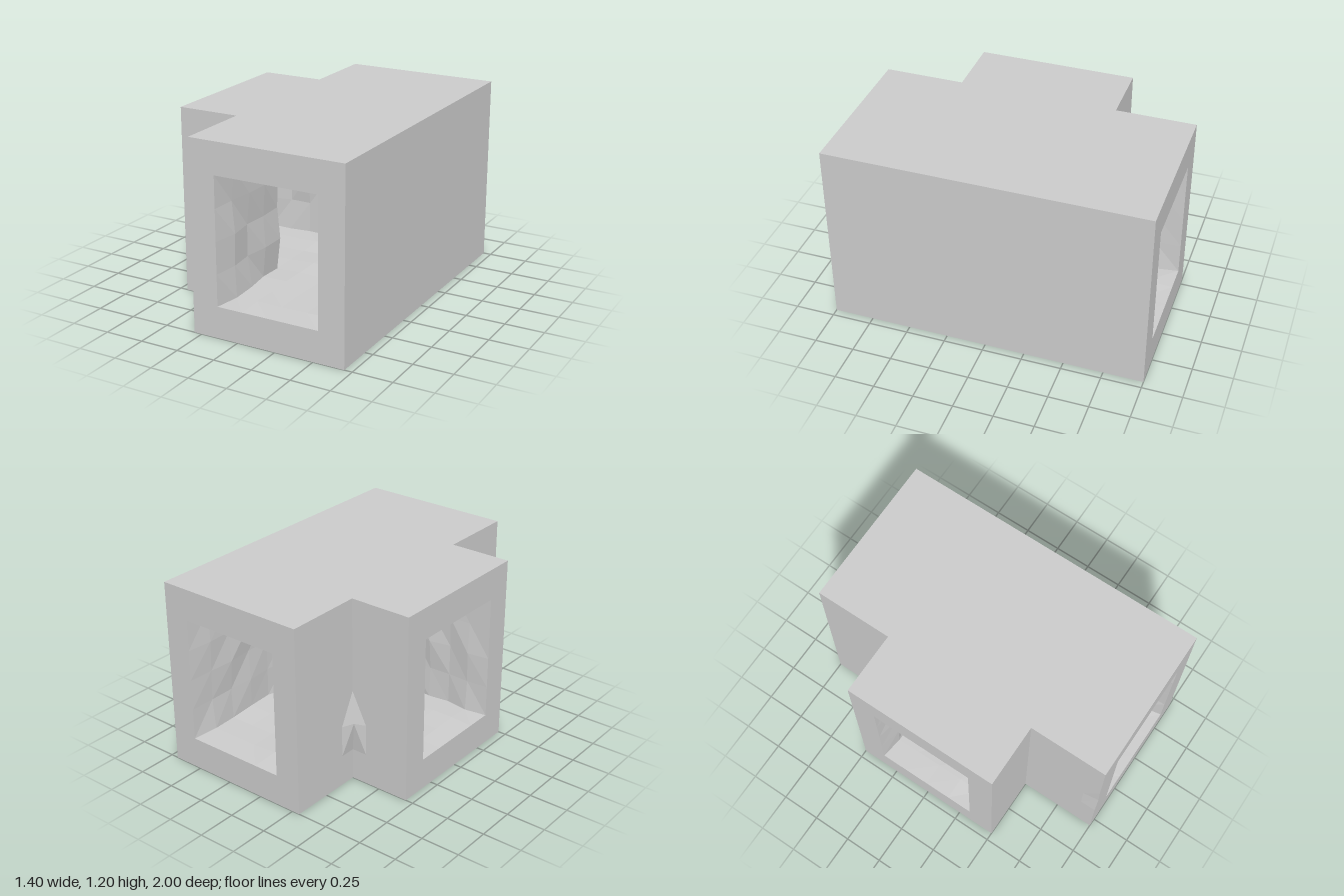
import * as THREE from 'three';

const H = 1.2, FLOOR = 0.2, CEIL = 1.0;        // outer height, tunnel floor and ceiling
const T = 1 / 3, IN = 0.2 - T, OUT = 0.2 + T;   // tunnel half width, main tunnel walls in x
const near = (a, b) => Math.abs(a - b) < 1e-4;

// Repeatable noise in 0..1 from a position
function noise(p, seed) {
  const s = Math.sin(Math.round(p.x * 60) * 12.99 + Math.round(p.y * 60) * 78.23 + Math.round(p.z * 60) * 37.72 + seed) * 43758.55;
  return s - Math.floor(s);
}

// Rough stone: tunnel walls swell inward, mouths stay crisp
function roughen(p) {
  const q = p.clone();
  if (near(p.z, 1) || near(p.z, -1) || near(p.x, -0.7)) return q;
  const bump = (amp, seed) => amp * noise(p, seed) ** 2;
  if (near(p.y, FLOOR)) q.y += bump(0.012, 1);
  if (near(p.y, CEIL)) q.y -= bump(0.03, 2);
  if (near(p.x, OUT)) q.x -= bump(0.035, 3);
  if (near(p.x, IN) && Math.abs(p.z) > T - 1e-4) q.x += bump(0.03, 4);
  if (p.x < IN + 1e-4 && near(Math.abs(p.z), T)) q.z -= Math.sign(p.z) * bump(0.03, 5);
  return q;
}

// Outer walls: one chipped front edge and one swollen inner corner
function weather(p) {
  const q = p.clone();
  if (near(p.x, -0.3) && near(p.y, 0.6) && near(p.z, 1)) q.x = -0.285;
  if (near(p.x, -0.3) && near(p.y, 0.4) && near(p.z, -0.5)) q.set(-0.33, 0.4, -0.526);
  return q;
}

// Grid of quads from corner o along u and v, facing u x v
function patch(o, u, v, nu, nv, rule) {
  const pos = [], idx = [];
  const O = new THREE.Vector3(...o), U = new THREE.Vector3(...u), V = new THREE.Vector3(...v);
  for (let j = 0; j <= nv; j++) {
    for (let i = 0; i <= nu; i++) {
      const p = O.clone().addScaledVector(U, i / nu).addScaledVector(V, j / nv);
      pos.push(...rule(p).toArray());
      if (i < nu && j < nv) {
        const a = j * (nu + 1) + i, b = a + 1, c = a + nu + 1, d = c + 1;
        idx.push(a, b, d, a, d, c);
      }
    }
  }
  const g = new THREE.BufferGeometry();
  g.setAttribute('position', new THREE.Float32BufferAttribute(pos, 3));
  g.setIndex(idx);
  g.computeVertexNormals();
  return g;
}

const polygon = pts => new THREE.Shape(pts.map(([x, y]) => new THREE.Vector2(x, y)));

// End face with the tunnel mouth cut out
function mouth(x0, x1, h0, h1, chip = []) {
  const s = polygon([[x0, 0], [x1, 0], [x1, H], [x0, H], ...chip]);
  s.holes.push(polygon([[h0, FLOOR], [h0, CEIL], [h1, CEIL], [h1, FLOOR]]));
  return new THREE.ShapeGeometry(s);
}

export function createModel() {
  const model = new THREE.Group();
  const material = new THREE.MeshStandardMaterial({ color: 0xcccccc, flatShading: true });
  const add = (name, geometry) => {
    const mesh = new THREE.Mesh(geometry, material);
    mesh.name = name;
    model.add(mesh);
  };

  // Flat T-shaped roof and base
  const plan = polygon([[-0.3, -1], [0.7, -1], [0.7, 1], [-0.3, 1], [-0.3, 0.5], [-0.7, 0.5], [-0.7, -0.5], [-0.3, -0.5]]);
  add('roof', new THREE.ShapeGeometry(plan).rotateX(-Math.PI / 2).translate(0, H, 0));
  add('base', new THREE.ShapeGeometry(plan).rotateX(Math.PI / 2));

  // Three end faces
  add('frontMouth', mouth(-0.3, 0.7, IN, OUT, [[-0.3, 0.8], [-0.285, 0.6], [-0.3, 0.4]]).translate(0, 0, 1));
  add('backMouth', mouth(-0.7, 0.3, -OUT, -IN).rotateY(Math.PI).translate(0, 0, -1));
  add('branchMouth', mouth(-0.5, 0.5, -T, T).rotateY(-Math.PI / 2).translate(-0.7, 0, 0));

  // Outer walls
  add('longOuterWall', patch([0.7, 0, -1], [0, H, 0], [0, 0, 2], 1, 1, weather));
  add('frontOuterWall', patch([-0.3, 0, 0.5], [0, 0, 0.5], [0, H, 0], 5, 6, weather));
  add('backOuterWall', patch([-0.3, 0, -1], [0, 0, 0.5], [0, H, 0], 5, 6, weather));
  add('branchFrontWall', patch([-0.7, 0, 0.5], [0.4, 0, 0], [0, H, 0], 4, 6, weather));
  add('branchBackWall', patch([-0.7, 0, -0.5], [0, H, 0], [0.4, 0, 0], 6, 4, weather));

  // Main tunnel
  const h = CEIL - FLOOR, w = 2 * T, b = IN + 0.7;
  add('tunnelFloor', patch([IN, FLOOR, -1], [0, 0, 2], [w, 0, 0], 12, 4, roughen));
  add('tunnelCeiling', patch([IN, CEIL, -1], [w, 0, 0], [0, 0, 2], 4, 12, roughen));
  add('tunnelLongWall', patch([OUT, FLOOR, -1], [0, 0, 2], [0, h, 0], 12, 4, roughen));
  add('tunnelBackWall', patch([IN, FLOOR, -1], [0, h, 0], [0, 0, w], 4, 4, roughen));
  add('tunnelFrontWall', patch([IN, FLOOR, T], [0, h, 0], [0, 0, w], 4, 4, roughen));

  // Branch tunnel
  add('branchFloor', patch([-0.7, FLOOR, -T], [0, 0, w], [b, 0, 0], 4, 4, roughen));
  add('branchCeiling', patch([-0.7, CEIL, -T], [b, 0, 0], [0, 0, w], 4, 4, roughen));
  add('branchTunnelBackWall', patch([-0.7, FLOOR, -T], [b, 0, 0], [0, h, 0], 4, 4, roughen));
  add('branchTunnelFrontWall', patch([-0.7, FLOOR, T], [0, h, 0], [b, 0, 0], 4, 4, roughen));
  return model;
}
